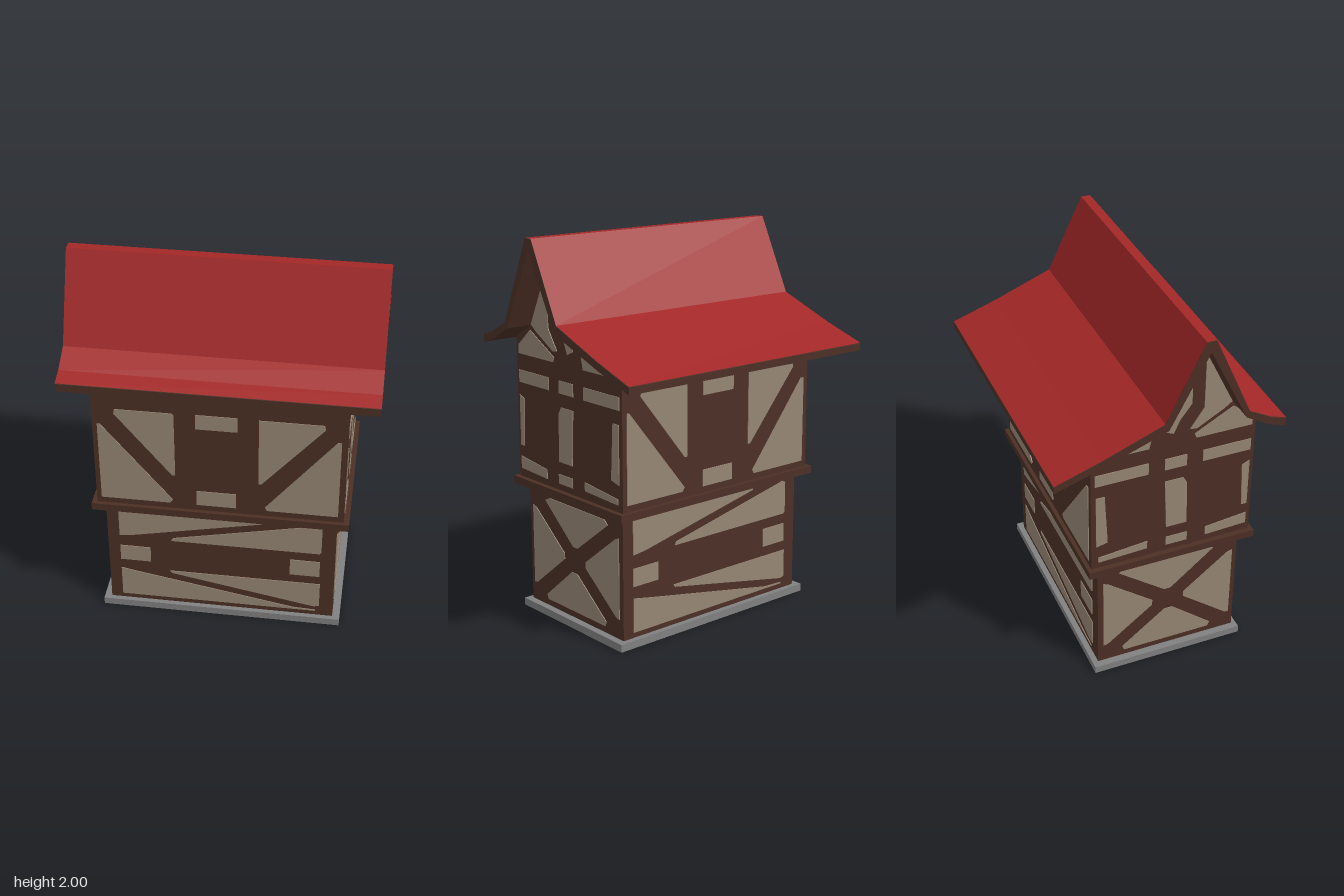
import * as THREE from 'three';

const mat = (name, color) => Object.assign(new THREE.MeshStandardMaterial({ color }), { name });

export function createModel() {
  const timber = mat('dark timber', 0x4c2f25);
  const plaster = mat('plaster', 0x978674);
  const tiles = mat('red tiles', 0xa32727);
  const stone = mat('grey stone', 0x808080);

  const house = new THREE.Group();
  house.name = 'house';
  const add = (name, geometry, material, parent = house) => {
    const mesh = new THREE.Mesh(geometry, material);
    mesh.name = name;
    parent.add(mesh);
    return mesh;
  };
  // Box given by half width, y range and z range
  const box = (name, hx, y0, y1, z0, z1, material) =>
    add(name, new THREE.BoxGeometry(2 * hx, y1 - y0, z1 - z0), material)
      .position.set(0, (y0 + y1) / 2, (z0 + z1) / 2);

  const extrude = (points, depth) => new THREE.ExtrudeGeometry(
    new THREE.Shape(points.map(([a, b]) => new THREE.Vector2(a, b))), { depth, bevelEnabled: false });
  // Extrudes a [z, y] profile along x, starting at x0
  const extrudeX = (profile, x0, depth) =>
    extrude(profile.map(([z, y]) => [-z, y]), depth).rotateY(Math.PI / 2).translate(x0, 0, 0);
  const rect = (a0, b0, a1, b1) => [[a0, b0], [a1, b0], [a1, b1], [a0, b1]];

  // Foundation, lower storey and the band between storeys
  box('foundation', 0.63, 0, 0.04, -0.335, 0.49, stone);
  box('lowerStorey', 0.592, 0.04, 0.68, -0.305, 0.465, timber);
  box('floorBand', 0.652, 0.68, 0.72, -0.37, 0.525, timber);

  // Upper storey with gables
  add('upperStorey', extrudeX([
    [0.505, 0.72], [0.505, 1.48], [0.385, 1.545], [0.175, 1.95],
    [-0.025, 1.575], [-0.35, 1.455], [-0.35, 0.72],
  ], -0.625, 1.25), timber);

  // Roof: timber shell with a thin tiled skin
  const ridge = [
    [0.583, 1.479], [0.505, 1.503], [0.39, 1.565], [0.2, 1.996], [0.15, 1.996],
    [-0.04, 1.603], [-0.35, 1.482], [-0.583, 1.403],
  ];
  const soffit = [
    [-0.583, 1.367], [-0.35, 1.443], [-0.02, 1.565], [0.175, 1.94],
    [0.375, 1.535], [0.5, 1.463], [0.583, 1.437],
  ];
  const roofX = 0.77;
  add('roofShell', extrudeX([...ridge, ...soffit], -roofX, 2 * roofX), timber);
  const corners = [];
  for (let i = 0; i < ridge.length - 1; i++) {
    const [[z0, y0], [z1, y1]] = [ridge[i], ridge[i + 1]];
    const a = [-roofX, y0 + 0.004, z0], b = [roofX, y0 + 0.004, z0];
    const c = [roofX, y1 + 0.004, z1], d = [-roofX, y1 + 0.004, z1];
    corners.push(...a, ...b, ...c, ...a, ...c, ...d);
  }
  const skin = new THREE.BufferGeometry();
  skin.setAttribute('position', new THREE.Float32BufferAttribute(corners, 3));
  skin.computeVertexNormals();
  add('roofTiles', skin, tiles);

  // Plaster fields between the beams of the long walls, as [x, y]
  const longLower = [
    [[-0.53, 0.475], [-0.45, 0.485], [0.28, 0.645], [0.28, 0.657], [-0.53, 0.657]],
    [[-0.26, 0.465], [0.51, 0.465], [0.52, 0.475], [0.52, 0.64], [0.5, 0.65], [0.46, 0.64], [-0.25, 0.483]],
    rect(-0.53, 0.31, -0.37, 0.405),
    rect(0.36, 0.31, 0.515, 0.41),
    [[-0.27, 0.257], [0.52, 0.257], [0.52, 0.105], [0.49, 0.1], [-0.26, 0.243]],
    [[-0.53, 0.068], [0.5, 0.068], [0.5, 0.075], [0.38, 0.08], [-0.43, 0.23], [-0.53, 0.25]],
  ];
  const longUpper = [
    [[-0.51, 1.305], [-0.23, 1.305], [-0.22, 1.295], [-0.22, 0.93], [-0.235, 0.93], [-0.515, 1.28]],
    [[-0.6, 0.755], [-0.25, 0.755], [-0.235, 0.775], [-0.585, 1.21], [-0.6, 1.21]],
    [[0.195, 1.305], [0.51, 1.305], [0.515, 1.28], [0.21, 0.92], [0.195, 0.92]],
    [[0.595, 0.755], [0.24, 0.755], [0.23, 0.775], [0.575, 1.21], [0.595, 1.21]],
    rect(-0.115, 1.225, 0.09, 1.308),
    rect(-0.115, 0.755, 0.085, 0.842),
  ];
  // Plaster fields of the gable walls, as [z, y]
  const sideFields = [
    [[0.33, 0.62], [0.29, 0.638], [-0.165, 0.638], [-0.19, 0.615], [0.06, 0.425], [0.095, 0.425]],
    [[0.44, 0.57], [0.41, 0.56], [0.17, 0.37], [0.17, 0.34], [0.42, 0.14], [0.44, 0.14]],
    [[-0.275, 0.57], [-0.275, 0.145], [-0.25, 0.15], [-0.005, 0.34], [-0.005, 0.37], [-0.25, 0.56]],
    [[0.065, 0.285], [0.11, 0.285], [0.33, 0.1], [0.32, 0.075], [-0.16, 0.075], [-0.17, 0.1]],
  ];
  const gableFields = [
    [[0.485, 0.83], [0.26, 0.805], [0.26, 0.755], [0.485, 0.765]],
    rect(0.045, 0.755, 0.16, 0.805),
    [[-0.055, 0.81], [-0.315, 0.785], [-0.315, 0.755], [-0.055, 0.765]],
    [[0.485, 0.89], [0.455, 0.89], [0.445, 1.14], [0.485, 1.16]],
    [[0.155, 0.87], [0.045, 0.87], [0.032, 1.155], [0.13, 1.155], [0.15, 1.12]],
    [[-0.265, 0.87], [-0.325, 0.855], [-0.325, 1.155], [-0.28, 1.155]],
    rect(0.23, 1.225, 0.485, 1.29),
    rect(0.03, 1.225, 0.145, 1.29),
    rect(-0.33, 1.225, -0.055, 1.29),
    [[0.485, 1.375], [0.485, 1.42], [0.38, 1.51], [0.18, 1.4], [0.19, 1.375]],
    [[0.37, 1.54], [0.235, 1.82], [0.225, 1.82], [0.225, 1.54], [0.155, 1.435], [0.19, 1.43], [0.33, 1.51]],
    [[0.16, 1.83], [0.14, 1.8], [0.02, 1.56], [0.025, 1.45], [0.07, 1.43], [0.1, 1.5], [0.16, 1.58]],
    [[-0.045, 1.53], [-0.1, 1.525], [-0.31, 1.42], [-0.31, 1.375], [-0.055, 1.375], [-0.04, 1.44]],
  ];

  const plate = 0.004;
  const longWall = (name, fields, front, back) => {
    for (const [side, angle, z] of [['front', 0, front], ['back', Math.PI, back]]) {
      const wall = new THREE.Group();
      wall.name = side + name;
      wall.rotation.y = angle;
      wall.position.z = z;
      fields.forEach((f) => add('plasterField', extrude(f, plate), plaster, wall));
      house.add(wall);
    }
  };
  longWall('LowerPlaster', longLower, 0.465, -0.305);
  longWall('UpperPlaster', longUpper, 0.505, -0.35);

  const endWall = (name, fields, x) => {
    for (const [side, x0] of [['left', x], ['right', -x - plate]]) {
      const wall = new THREE.Group();
      wall.name = side + name;
      fields.forEach((f) => add('plasterField', extrudeX(f, x0, plate), plaster, wall));
      house.add(wall);
    }
  };
  endWall('LowerPlaster', sideFields, 0.592);
  endWall('GablePlaster', gableFields, 0.625);

  return house;
}
